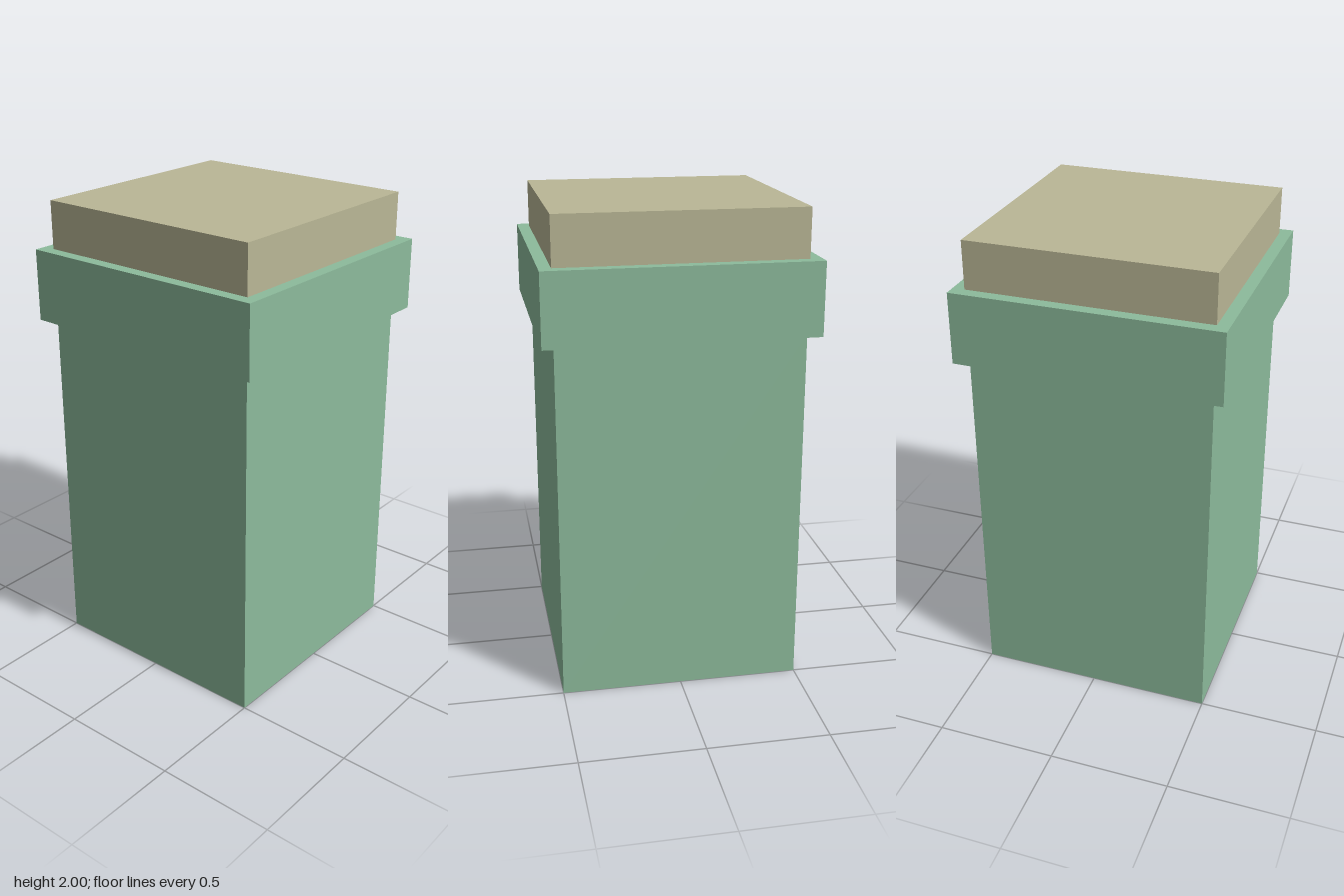
import * as THREE from 'three';

export function createModel() {
  const group = new THREE.Group();
  const green = new THREE.MeshStandardMaterial({ color: 0x8dbb9c });
  green.name = 'soft green';
  const tan = new THREE.MeshStandardMaterial({ color: 0xbab796 });
  tan.name = 'tan';

  // Square block of the given width, spanning bottom to top
  const addBlock = (name, width, bottom, top, material) => {
    const mesh = new THREE.Mesh(new THREE.BoxGeometry(width, top - bottom, width), material);
    mesh.name = name;
    mesh.position.y = (bottom + top) / 2;
    group.add(mesh);
  };

  addBlock('shaft', 1, 0, 1.5, green);
  addBlock('collar', 1.1, 1.5, 1.8, green);
  addBlock('cap', 1, 1.8, 2, tan);

  return group;
}
